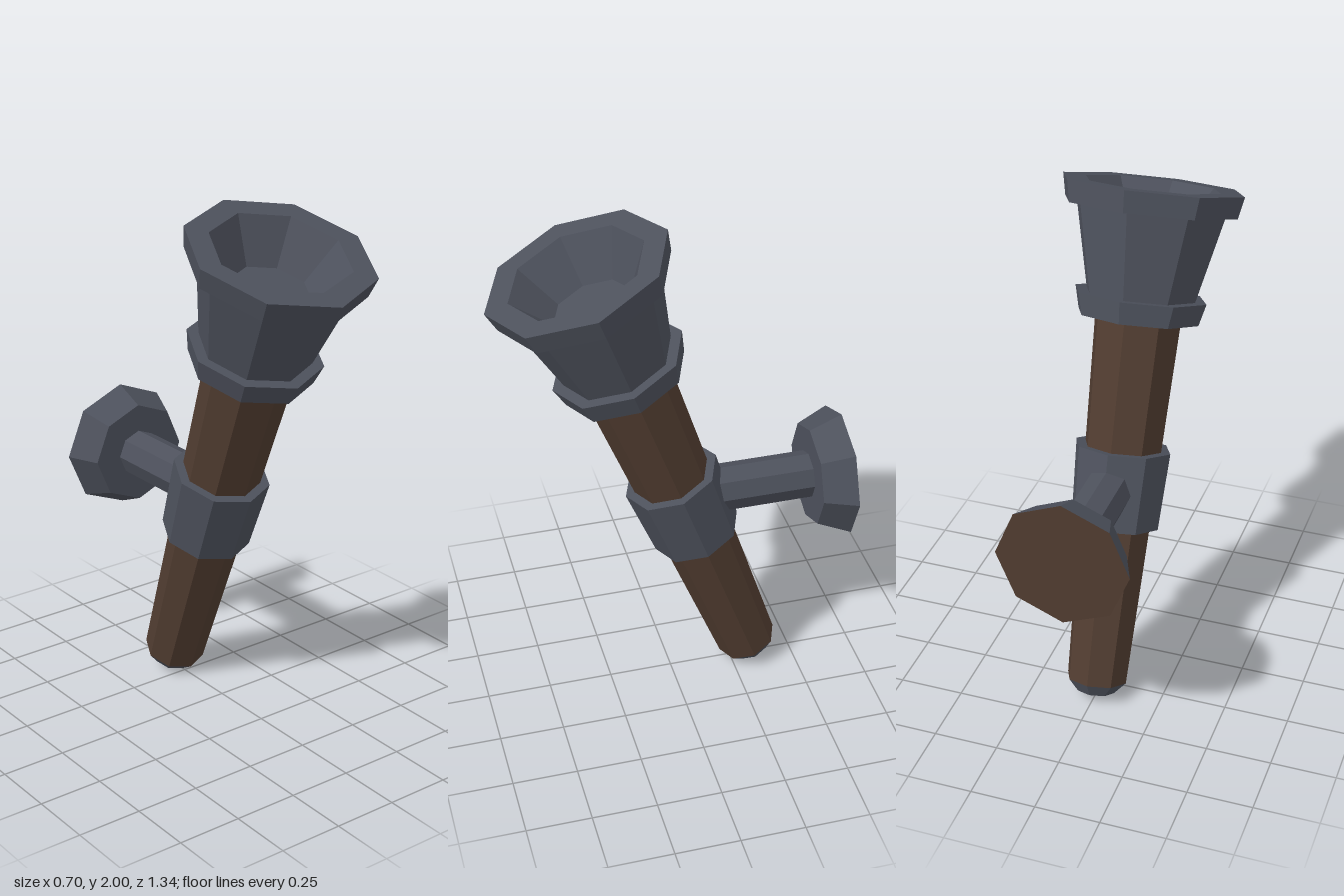
import * as THREE from 'three';

const metal = new THREE.MeshStandardMaterial({ color: 0x4d515c, flatShading: true });
const wood = new THREE.MeshStandardMaterial({ color: 0x503c30, flatShading: true });

// Eight-sided turned part from [radius, height] pairs, listed from bottom to top
function turned(name, material, profile) {
  const points = profile.map(([r, h]) => new THREE.Vector2(r, h));
  const mesh = new THREE.Mesh(new THREE.LatheGeometry(points, 8), material);
  mesh.name = name;
  return mesh;
}

export function createModel() {
  const model = new THREE.Group();
  model.name = 'wallTorch';

  // Torch, leaning forward from the wall
  const torch = new THREE.Group();
  torch.name = 'torch';
  torch.position.set(0, 0.077, -0.32);
  torch.rotation.x = THREE.MathUtils.degToRad(20);
  torch.add(
    turned('handle', wood, [[0.119, 0], [0.168, 1.45]]),
    turned('handleTip', metal, [[0, -0.05], [0.076, -0.05], [0.119, 0]]),
    turned('holderCollar', metal, [[0.12, 0.632], [0.173, 0.632], [0.187, 0.931], [0.13, 0.931]]),
    // Lower ring, flared cup, rim and hollow bowl in one profile
    turned('cup', metal, [
      [0, 1.43], [0.235, 1.43], [0.256, 1.513], [0.212, 1.513],
      [0.288, 1.84], [0.333, 1.84], [0.35, 1.922], [0.26, 1.922],
      [0.15, 1.765], [0, 1.765],
    ])
  );
  model.add(torch);

  // Bracket, running back along -z to the wall
  const bracket = new THREE.Group();
  bracket.name = 'bracket';
  bracket.position.y = 0.86;
  bracket.rotation.x = -Math.PI / 2;
  bracket.add(
    turned('bracketArm', metal, [[0, 0.178], [0.092, 0.178], [0.092, 0.56]]),
    turned('wallPlate', metal, [[0, 0.55], [0.2, 0.55], [0.253, 0.675]]),
    turned('wallPlateBack', wood, [[0.253, 0.675], [0, 0.675]])
  );
  model.add(bracket);

  return model;
}
